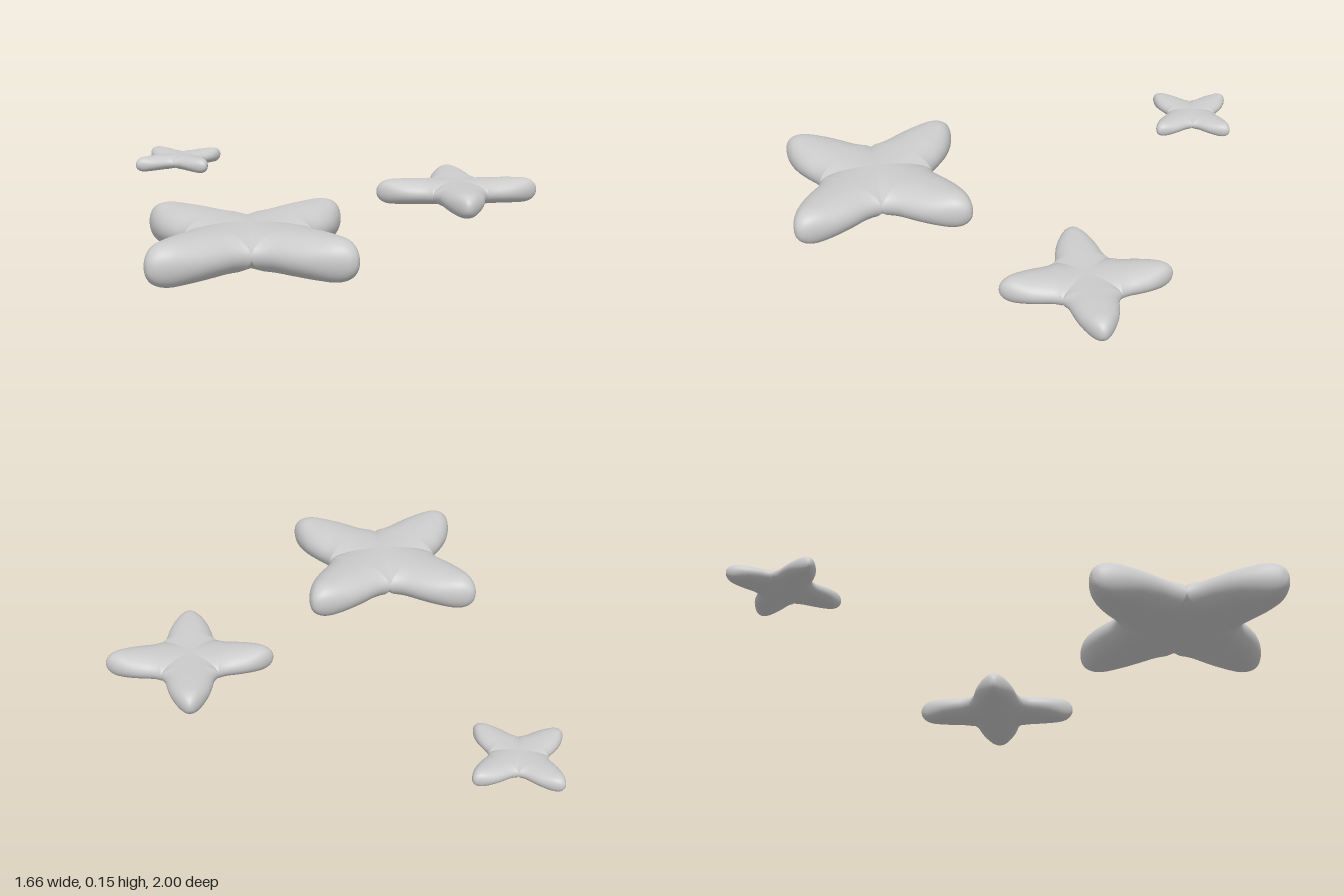
import * as THREE from 'three';
import { mergeGeometries, mergeVertices } from 'three/addons/utils/BufferGeometryUtils.js';

const V = 0.34; // distance along an arm where two neighbouring arms meet

// Half-width of an arm from the valley to the tip (unit arm length)
const edge = new THREE.SplineCurve([
  [V, V], [0.38, 0.312], [0.45, 0.285], [0.57, 0.262], [0.7, 0.228],
  [0.82, 0.175], [0.91, 0.119], [0.97, 0.065], [0.992, 0.03], [1, 0],
].map(([u, w]) => new THREE.Vector2(u, w)));

// Height of the puffy ridge: dips at the centre, rounds off at the tip
function ridge(u, dip) {
  const rise = 1 - dip * (1 - THREE.MathUtils.smoothstep(u, 0, 0.65));
  const t = Math.max(0, (u - 0.78) / 0.22);
  return rise * Math.sqrt(Math.max(0, 1 - t ** 2.6));
}

// One sheet (top or bottom) of an arm pointing along +x
function armSheet(side, dip) {
  const rows = [];
  for (let i = 0; i < 14; i++) {
    const u = V * Math.sin((i / 14) * Math.PI / 2);
    rows.push({ u, w: u, full: V });
  }
  for (const p of edge.getPoints(36)) rows.push({ u: p.x, w: p.y, full: p.y });

  const cols = 24, pos = [], idx = [];
  rows.forEach(({ u, w, full }, i) => {
    for (let j = 0; j <= cols; j++) {
      const v = -w * Math.cos((j / cols) * Math.PI);
      const s = full > 1e-6 ? Math.min(1, Math.abs(v) / full) : 1;
      pos.push(u, side * ridge(u, dip) * Math.sqrt(1 - s ** 2.3), v);
      if (i < rows.length - 1 && j < cols) {
        const a = i * (cols + 1) + j, b = a + 1, c = a + cols + 1, d = c + 1;
        if (side > 0) idx.push(a, b, c, b, d, c);
        else idx.push(a, c, b, b, c, d);
      }
    }
  });
  const g = new THREE.BufferGeometry();
  g.setAttribute('position', new THREE.Float32BufferAttribute(pos, 3));
  g.setIndex(idx);
  return g;
}

// Four arms, top and bottom, welded into one smooth body
function starGeometry() {
  const parts = [];
  for (let k = 0; k < 4; k++) {
    for (const [side, dip] of [[1, 0.13], [-1, 0.05]]) {
      parts.push(armSheet(side, dip).rotateY(k * Math.PI / 2));
    }
  }
  const g = mergeVertices(mergeGeometries(parts), 1e-4);
  g.computeVertexNormals();
  return g;
}

export function createModel() {
  const group = new THREE.Group();
  const geometry = starGeometry();
  const material = new THREE.MeshStandardMaterial({ color: 0xcccccc });

  // name, x, z, arm length, half thickness, turn
  const stars = [
    ['largeStar', -0.38, 0.64, 0.489, 0.077, Math.PI / 4],
    ['mediumStar', 0.5, -0.055, 0.331, 0.05, -0.04],
    ['smallStar', -0.642, -0.81, 0.222, 0.0325, 0.56],
  ];
  for (const [name, x, z, length, half, turn] of stars) {
    const star = new THREE.Mesh(geometry, material);
    star.name = name;
    star.position.set(x, 0.08, z);
    star.scale.set(length, half, length);
    star.rotation.y = turn;
    group.add(star);
  }
  return group;
}
